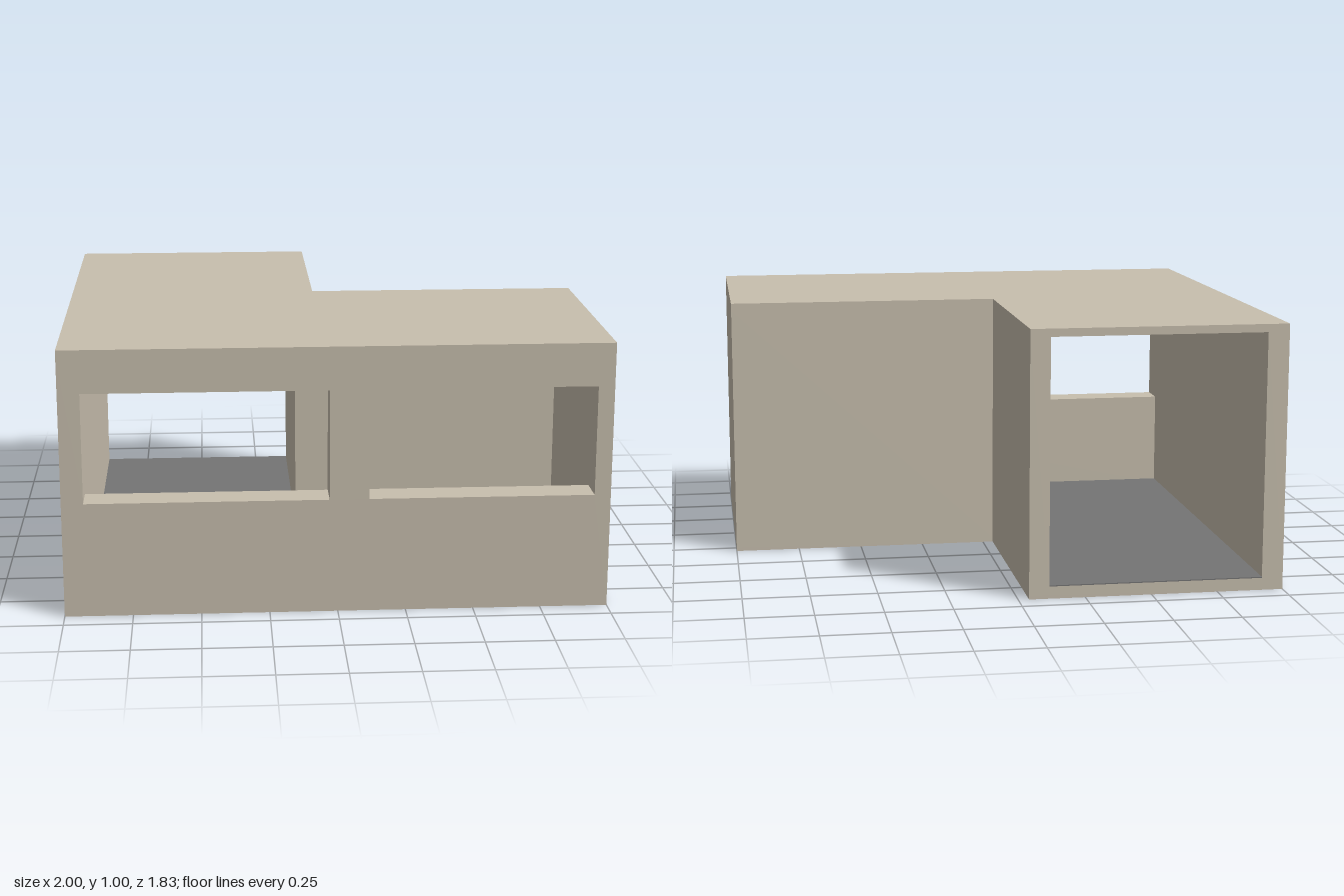
import * as THREE from 'three';

const wallMat = new THREE.MeshStandardMaterial({ color: 0xc8bfae });
wallMat.name = 'warm beige';
const floorMat = new THREE.MeshStandardMaterial({ color: 0x757575 });
floorMat.name = 'floor grey';

// Main levels and plan lines
const BACK = -0.915, FRONT = 0.915, WING_X = -0.04, NOTCH_Z = -0.05;
const BASE = 0.015, RAISED = 0.05, CEILING = 0.97, TOP = 1;
const IN_LEFT = -0.92, IN_WING = -0.115, IN_RIGHT = 0.94, IN_REAR = 0.035, IN_FRONT = 0.795;
const STEP_X = 0.115;

// Upright prism from a plan outline given as [x, z] points
function prism(name, plan, y0, y1, material) {
  const shape = new THREE.Shape(plan.map(([x, z]) => new THREE.Vector2(x, -z)));
  const geo = new THREE.ExtrudeGeometry(shape, { depth: y1 - y0, bevelEnabled: false });
  geo.rotateX(-Math.PI / 2).translate(0, y0, 0);
  const mesh = new THREE.Mesh(geo, material);
  mesh.name = name;
  return mesh;
}

function rectangle(x0, z0, x1, z1) {
  return [[x0, z1], [x1, z1], [x1, z0], [x0, z0]];
}

// Front wall with two window openings
function frontWall() {
  const rect = (Kind, x0, y0, x1, y1) => new Kind([
    new THREE.Vector2(x0, y0), new THREE.Vector2(x1, y0),
    new THREE.Vector2(x1, y1), new THREE.Vector2(x0, y1),
  ]);
  const shape = rect(THREE.Shape, -1, BASE, 1, CEILING);
  for (const [x0, x1] of [[IN_LEFT, -0.03], [STEP_X, IN_RIGHT]]) {
    shape.holes.push(rect(THREE.Path, x0, 0.43, x1, 0.84));
  }
  const geo = new THREE.ExtrudeGeometry(shape, { depth: FRONT - IN_FRONT, bevelEnabled: false });
  geo.translate(0, 0, IN_FRONT);
  const mesh = new THREE.Mesh(geo, wallMat);
  mesh.name = 'frontWall';
  return mesh;
}

export function createModel() {
  const group = new THREE.Group();
  group.name = 'lShapedBuilding';

  const outline = [
    [-1, FRONT], [1, FRONT], [1, NOTCH_Z], [WING_X, NOTCH_Z], [WING_X, BACK], [-1, BACK],
  ];
  const raisedPlan = [
    [IN_LEFT, IN_FRONT], [STEP_X, IN_FRONT], [STEP_X, IN_REAR],
    [IN_WING, IN_REAR], [IN_WING, BACK], [IN_LEFT, BACK],
  ];

  group.add(
    prism('base', outline, 0, BASE, wallMat),
    prism('roof', outline, CEILING, TOP, wallMat),
    frontWall(),
    prism('longSideWall', rectangle(-1, BACK, IN_LEFT, IN_FRONT), BASE, CEILING, wallMat),
    // Wing side, courtyard rear and short side in one bent wall
    prism('courtyardWall', [
      [1, IN_FRONT], [1, NOTCH_Z], [WING_X, NOTCH_Z], [WING_X, BACK],
      [IN_WING, BACK], [IN_WING, IN_REAR], [IN_RIGHT, IN_REAR], [IN_RIGHT, IN_FRONT],
    ], BASE, CEILING, wallMat),
    // Raised floor through the wing, lower floor in the side room
    prism('raisedFloorSlab', raisedPlan, BASE, RAISED - 0.004, wallMat),
    prism('raisedFloor', raisedPlan, RAISED - 0.004, RAISED, floorMat),
    prism('lowerFloor', rectangle(STEP_X, IN_REAR, IN_RIGHT, IN_FRONT), BASE, BASE + 0.005, floorMat),
  );
  return group;
}
